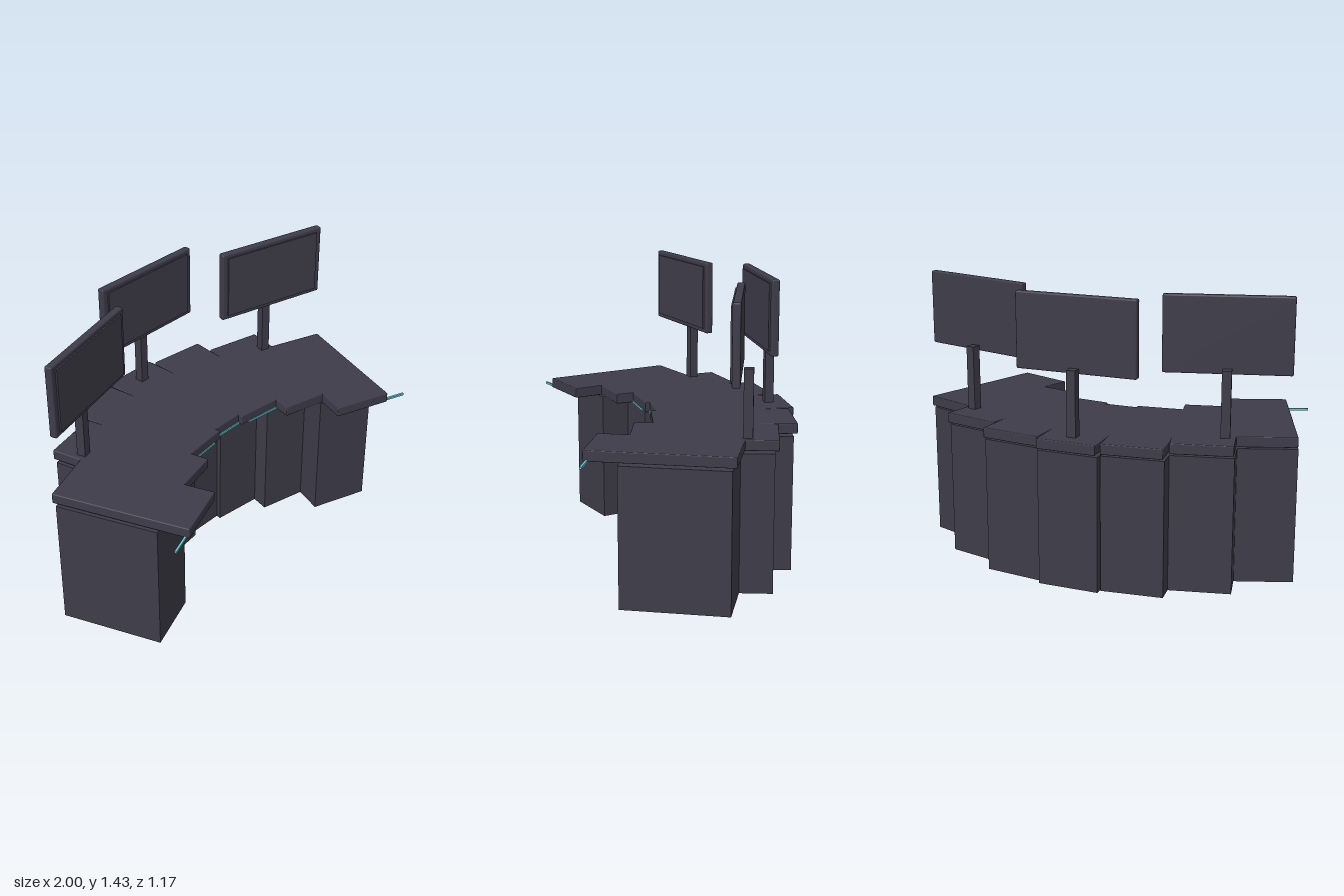
import * as THREE from 'three';
import { RoundedBoxGeometry } from 'three/addons/geometries/RoundedBoxGeometry.js';

const material = (name, color) => {
  const m = new THREE.MeshStandardMaterial({ color });
  m.name = name;
  return m;
};

export function createModel() {
  const root = new THREE.Group();
  root.name = 'controlDesk';

  const deskGrey = material('desk grey', 0x3e3c49);
  const screenGrey = material('screen grey', 0x403e4b);
  const cyan = material('cyan light', 0x62c4cc);

  const add = (parent, name, geometry, mat, x, y, z, turn = 0) => {
    const mesh = new THREE.Mesh(geometry, mat);
    mesh.name = name;
    mesh.position.set(x, y, z);
    mesh.rotation.y = turn;
    parent.add(mesh);
    return mesh;
  };

  const topGeo = new RoundedBoxGeometry(0.305, 0.053, 0.7, 1, 0.005);
  const cabinetGeo = new THREE.BoxGeometry(0.311, 0.687, 0.52);
  const stripGeo = new THREE.BoxGeometry(0.295, 0.011, 0.011);

  // Seven desk sections fanned along an arc: centre x, centre z, inward turn
  const step = THREE.MathUtils.degToRad(6.68);
  const sections = [[0, -0.24], [0.276, -0.195], [0.53, -0.052], [0.737, 0.176]];
  sections.forEach(([x, z], i) => {
    for (const side of i ? [-1, 1] : [1]) {
      const section = new THREE.Group();
      section.name = 'deskSection';
      section.position.set(side * x, 0, z);
      section.rotation.y = -side * i * step;
      root.add(section);
      add(section, 'deskTop', topGeo, deskGrey, 0, 0.7255, 0);
      add(section, 'cabinet', cabinetGeo, deskGrey, 0, 0.3435, -0.07);
      // Light strip sits straight ahead of the section centre
      add(root, 'lightStrip', stripGeo, cyan, side * x, 0.702, z + 0.351, -side * i * step);
    }
  });

  // Three monitors on square posts
  const bodyGeo = new RoundedBoxGeometry(0.622, 0.378, 0.038, 2, 0.008);
  const screenGeo = new THREE.BoxGeometry(0.56, 0.332, 0.009);
  const postGeo = new THREE.BoxGeometry(0.046, 0.335, 0.046);
  const tilt = THREE.MathUtils.degToRad(15);
  for (const side of [-1, 0, 1]) {
    const monitor = new THREE.Group();
    monitor.name = 'monitor';
    monitor.position.set(side * 0.6625, 0, side ? -0.179 : -0.445);
    monitor.rotation.y = -side * tilt;
    root.add(monitor);
    add(monitor, 'monitorBody', bodyGeo, deskGrey, 0, 1.24, 0);
    add(monitor, 'screen', screenGeo, screenGrey, 0, 1.241, 0.0225);
    add(monitor, 'monitorPost', postGeo, deskGrey, 0, 0.9125, -0.0495);
  }

  return root;
}
